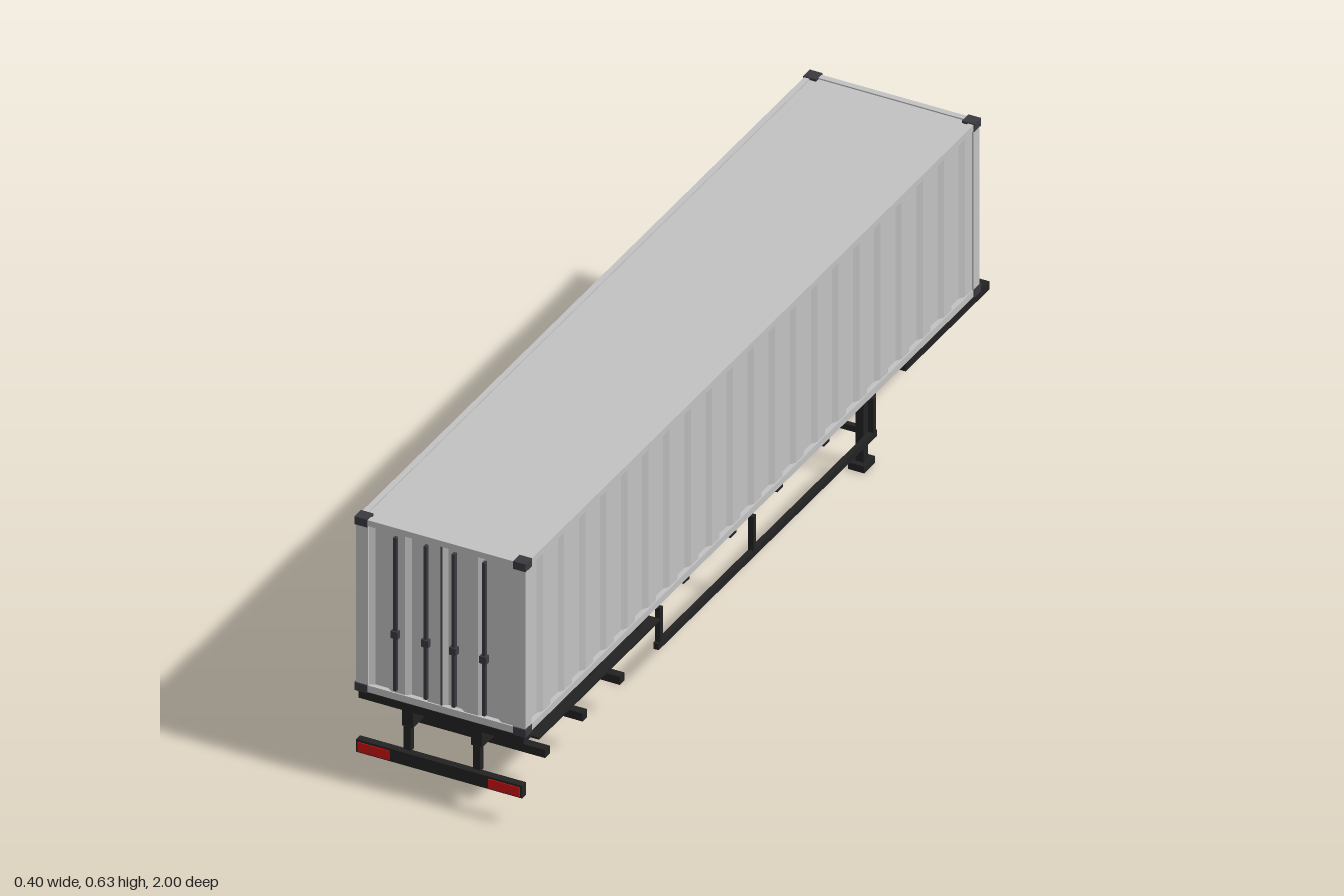
import * as THREE from 'three';

const mat = (name, color) => {
  const m = new THREE.MeshStandardMaterial({ color });
  m.name = name;
  return m;
};

export function createModel() {
  const root = new THREE.Group();
  root.name = 'containerTrailer';
  const grey = mat('containerGrey', 0xc2c2c2);
  const dark = mat('chassisBlack', 0x222222);
  const steel = mat('fittingGrey', 0x3a3a40);
  const red = mat('reflectorRed', 0xd01010);

  const container = new THREE.Group();
  container.name = 'container';
  const chassis = new THREE.Group();
  chassis.name = 'chassis';
  root.add(container, chassis);

  // Box given by its min and max on each axis
  const box = (parent, name, m, [x0, x1], [y0, y1], [z0, z1]) => {
    const mesh = new THREE.Mesh(new THREE.BoxGeometry(x1 - x0, y1 - y0, z1 - z0), m);
    mesh.position.set((x0 + x1) / 2, (y0 + y1) / 2, (z0 + z1) / 2);
    mesh.name = name;
    parent.add(mesh);
    return mesh;
  };
  // The same box on both sides of x = 0
  const pair = (parent, name, m, [x0, x1], y, z) => {
    box(parent, name + 'Left', m, [x0, x1], y, z);
    box(parent, name + 'Right', m, [-x1, -x0], y, z);
  };

  // Corrugated wall: trapezoid profile swept upwards, outer face at local z = 0
  const wallY = [0.23, 0.612];
  const corrugated = (name, length, periods, depth) => {
    const step = length / periods;
    const shape = new THREE.Shape();
    shape.moveTo(-length / 2, 0);
    for (let i = 0; i < periods; i++) {
      const u = -length / 2 + i * step;
      shape.lineTo(u + step * 0.14, depth);
      shape.lineTo(u + step * 0.5, depth);
      shape.lineTo(u + step * 0.64, 0);
      shape.lineTo(u + step, 0);
    }
    shape.lineTo(length / 2, depth + 0.006);
    shape.lineTo(-length / 2, depth + 0.006);
    const geo = new THREE.ExtrudeGeometry(shape, { depth: wallY[1] - wallY[0], bevelEnabled: false });
    geo.rotateX(-Math.PI / 2);
    const mesh = new THREE.Mesh(geo, grey);
    mesh.name = name;
    mesh.position.y = wallY[0];
    container.add(mesh);
    return mesh;
  };
  const zB = -0.956, zF = 0.991, zMid = (zB + zF) / 2;
  corrugated('doorPanels', 0.336, 4, 0.008).position.z = 0.988;
  const endWall = corrugated('endWall', 0.336, 4, 0.008);
  endWall.rotation.y = Math.PI;
  endWall.position.z = zB + 0.003;
  for (const s of [-1, 1]) {
    const wall = corrugated(s > 0 ? 'sideWallLeft' : 'sideWallRight', 1.9, 21, 0.008);
    wall.rotation.y = s * Math.PI / 2;
    wall.position.x = s * 0.192;
    wall.position.z = zMid;
  }

  // Floor, roof and frame
  box(container, 'floor', grey, [-0.19, 0.19], [0.216, 0.224], [zB + 0.003, zF - 0.003]);
  box(container, 'roof', grey, [-0.19, 0.19], [0.612, 0.622], [zB + 0.003, zF - 0.003]);
  pair(container, 'topRail', grey, [0.182, 0.195], [0.611, 0.625], [zB, zF]);
  pair(container, 'bottomRail', grey, [0.182, 0.195], [0.215, 0.231], [zB, zF]);
  for (const [end, z] of [['Front', [zF - 0.014, zF]], ['Back', [zB, zB + 0.014]]]) {
    box(container, 'header' + end, grey, [-0.182, 0.182], [0.611, 0.625], z);
    box(container, 'sill' + end, grey, [-0.182, 0.182], [0.215, 0.231], z);
    pair(container, 'cornerPost' + end, grey, [0.167, 0.195], [0.23, 0.612], z);
  }
  for (const z of [[zB + 0.012, zB + 0.026], [zF - 0.026, zF - 0.012]])
    pair(container, 'postReturn', grey, [0.181, 0.195], [0.23, 0.612], z);

  // Corner castings
  for (const z of [[zB - 0.003, zB + 0.025], [zF - 0.025, zF + 0.003]])
    for (const y of [[0.2135, 0.232], [0.609, 0.6275]])
      pair(container, 'cornerCasting', steel, [0.168, 0.197], y, z);

  // Door lock rods, handles and centre seam
  for (const x of [-0.103, -0.033, 0.031, 0.101]) {
    box(container, 'lockRod', steel, [x - 0.0035, x + 0.0035], [0.239, 0.604], [0.986, 0.996]);
    box(container, 'lockHandle', steel, [x - 0.008, x + 0.008], [0.365, 0.382], [0.986, 0.999]);
  }
  box(container, 'doorSeam', steel, [-0.0015, 0.0015], [0.231, 0.611], [0.982, 0.9895]);

  // Main beams, cross members and coupling plate
  pair(chassis, 'mainBeam', dark, [0.067, 0.092], [0.155, 0.2135], [-0.985, 0.985]);
  box(chassis, 'rearCrossbeam', dark, [-0.19, 0.19], [0.195, 0.213], [0.955, 0.99]);
  for (let i = 0; i < 7; i++) {
    const z = -0.52 + i * 0.2;
    box(chassis, 'crossMember', dark, [-0.185, 0.185], [0.195, 0.2125], [z - 0.012, z + 0.012]);
  }
  box(chassis, 'couplingPlate', dark, [-0.195, 0.195], [0.196, 0.2145], [-1, -0.64]);
  const pin = new THREE.Mesh(new THREE.CylinderGeometry(0.008, 0.008, 0.02, 12), dark);
  pin.name = 'couplingPin';
  pin.position.set(0, 0.188, -0.84);
  chassis.add(pin);

  // Axles with hangers, and mudguards above them
  for (const z of [0.84, 0.68, 0.52]) {
    box(chassis, 'axle', dark, [-0.165, 0.165], [0.078, 0.097], [z - 0.01, z + 0.01]);
    pair(chassis, 'axleHanger', dark, [0.072, 0.088], [0.095, 0.157], [z - 0.007, z + 0.007]);
  }
  pair(chassis, 'mudguard', dark, [0.095, 0.199], [0.181, 0.186], [0.42, 0.94]);

  // Rear bumper with reflectors
  box(chassis, 'bumper', dark, [-0.191, 0.191], [0.07, 0.1], [0.981, 0.998]);
  pair(chassis, 'bumperBracket', dark, [0.072, 0.088], [0.098, 0.157], [0.972, 0.986]);
  pair(chassis, 'reflectorInner', red, [0.114, 0.16], [0.073, 0.095], [0.996, 1]);
  pair(chassis, 'reflectorOuter', red, [0.162, 0.186], [0.073, 0.095], [0.996, 1]);

  // Side guards
  pair(chassis, 'guardRail', dark, [0.179, 0.191], [0.104, 0.119], [-0.525, 0.412]);
  for (const z of [0.4, 0, -0.515])
    pair(chassis, 'guardPost', dark, [0.179, 0.191], [0.11, 0.2], [z - 0.006, z + 0.006]);

  // Landing legs
  pair(chassis, 'landingLeg', dark, [0.13, 0.148], [0.01, 0.155], [-0.566, -0.546]);
  pair(chassis, 'landingFoot', dark, [0.12, 0.157], [0, 0.016], [-0.58, -0.533]);
  box(chassis, 'legBrace', dark, [-0.132, 0.132], [0.08, 0.094], [-0.562, -0.55]);

  return root;
}
